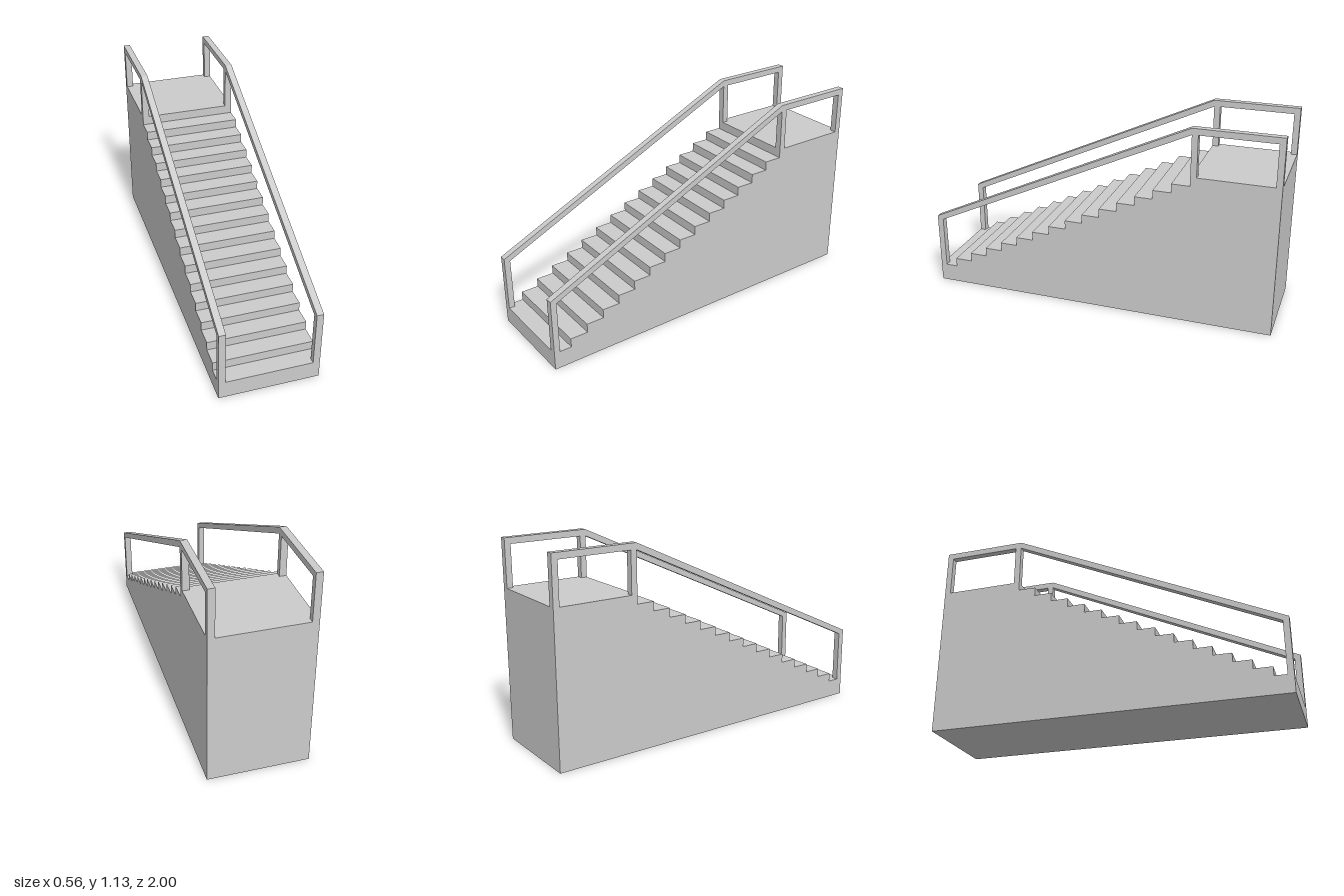
import * as THREE from 'three';

const HALF_WIDTH = 0.278, RAIL = 0.038;
const STEPS = 15, RUN = 0.1014, RISE = 0.0507;
const DECK = RISE * (STEPS + 2);     // landing height
const LANDING_Z = 1 - RUN * STEPS;   // front edge of the landing

// Extrude a side profile of [z, y] points across x, centred on the given x.
function extrudeAcross(name, points, width, x) {
  const shape = new THREE.Shape(points.map(([z, y]) => new THREE.Vector2(z, y)));
  const geometry = new THREE.ExtrudeGeometry(shape, { depth: width, bevelEnabled: false });
  geometry.translate(0, 0, -width / 2).rotateY(-Math.PI / 2);
  const material = new THREE.MeshStandardMaterial({ color: 0xcccccc, flatShading: true });
  const mesh = new THREE.Mesh(geometry, material);
  mesh.name = name;
  mesh.position.x = x;
  return mesh;
}

export function createModel() {
  const model = new THREE.Group();
  model.name = 'staircase';

  // Solid stair block with the landing at the back
  const stairs = [[-1, 0], [1, 0]];
  for (let i = 0; i <= STEPS; i++) {
    const y = RISE * (i + 2);
    stairs.push([1 - RUN * i, y], [i < STEPS ? 1 - RUN * (i + 1) : -1, y]);
  }
  model.add(extrudeAcross('stairBlock', stairs, HALF_WIDTH * 2, 0));

  // Handrail: front post, sloping rail, landing post, level rail and back post
  const post = 0.034, top = 1.13, under = 1.095, foot = RISE * 2;
  const railing = [
    [1, foot], [1, 0.42], [LANDING_Z, top], [-1, top],
    [-1, DECK], [-1 + post, DECK], [-1 + post, under],
    [LANDING_Z - post, under], [LANDING_Z - post, DECK],
    [LANDING_Z, DECK], [LANDING_Z, under - 0.002],
    [1 - post, 0.4], [1 - post, foot],
  ];
  for (const side of [1, -1]) {
    const name = side > 0 ? 'leftHandrail' : 'rightHandrail';
    model.add(extrudeAcross(name, railing, RAIL, side * (HALF_WIDTH - RAIL / 2)));
  }
  return model;
}
